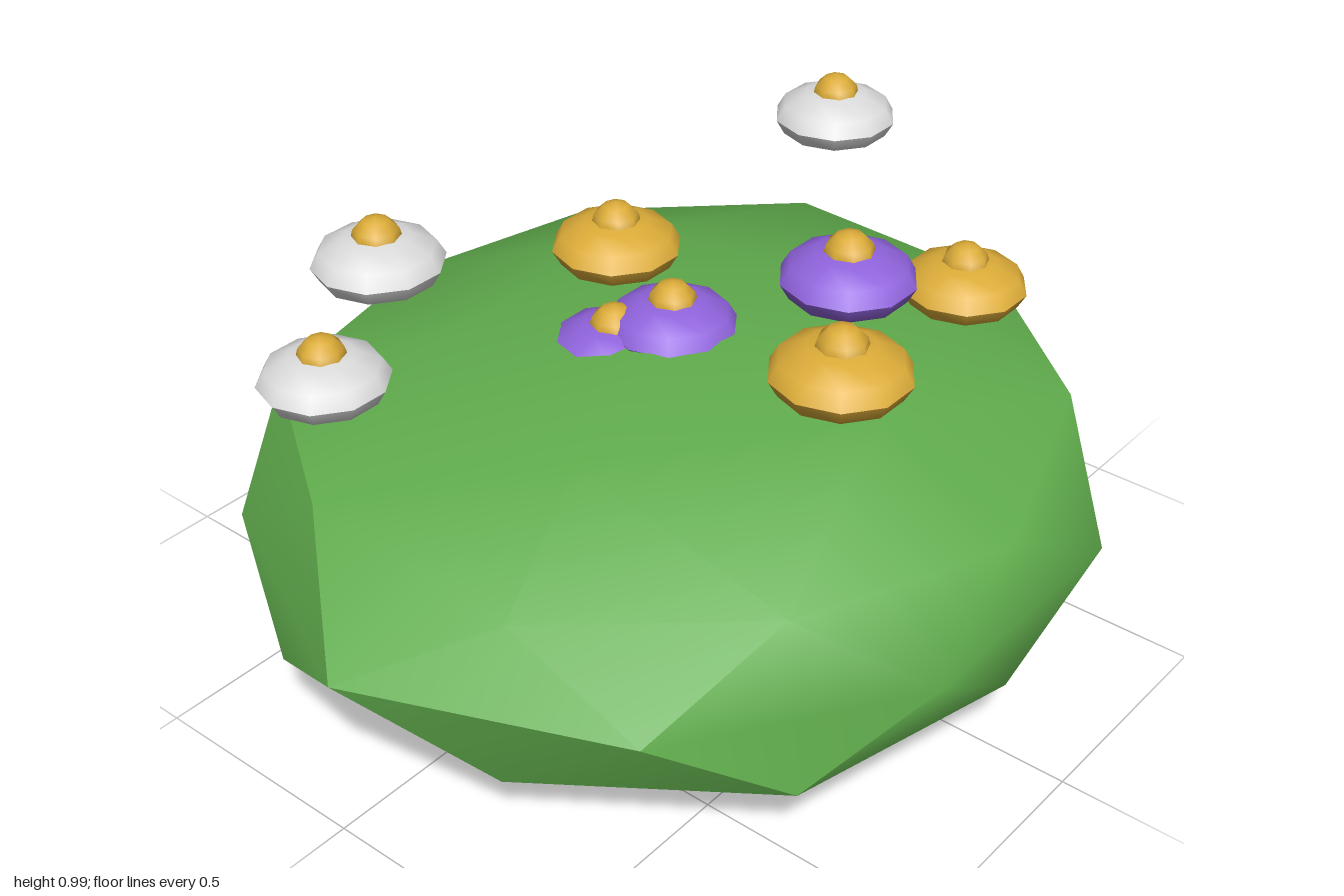
import * as THREE from 'three';

const material = (name, color) => {
  const m = new THREE.MeshStandardMaterial({ color });
  m.name = name;
  return m;
};

// Squashed, slightly uneven ball made of rows of points, with creases over 30 degrees
function rockGeometry() {
  const points = [], faces = [];
  const row = (lift, startDegrees, radii) => radii.map((r, i) => {
    const a = THREE.MathUtils.degToRad(startDegrees + i * 360 / radii.length);
    const flat = Math.sqrt(1 - lift * lift) * r;
    return points.push(new THREE.Vector3(Math.cos(a) * flat, 0.355 * (1 + lift * r), Math.sin(a) * flat)) - 1;
  });
  const [top] = row(1, 0, [0.94]);
  const cap = row(0.8507, 0, [1, 0.95, 0.9, 0.92, 0.95]);
  const midHigh = row(0.5257, 36, [0.97, 0.97, 0.91, 1, 0.97]);
  const high = row(0.4472, 0, [0.93, 0.93, 0.94, 0.95, 0.98]);
  const rim = row(0, 18, [0.92, 0.945, 1, 0.917, 0.895, 0.937, 1, 1, 0.89, 0.925]);
  const low = row(-0.4472, 36, [1.02, 1.03, 0.92, 1.05, 1]);
  const midLow = row(-0.5257, 0, [1, 1.03, 0.92, 0.93, 1]);
  const base = row(-0.8507, 36, [1.03, 0.98, 0.95, 1.02, 1]);
  const [bottom] = row(-1, 0, [1]);

  // Each large triangle becomes four
  const split = (a, b, c, ab, bc, ca) =>
    faces.push([a, ab, ca], [ab, b, bc], [ca, bc, c], [ab, bc, ca]);
  for (let i = 0; i < 5; i++) {
    const n = (i + 1) % 5, p = (i + 4) % 5;
    split(top, high[n], high[i], cap[n], midHigh[i], cap[i]);
    split(high[i], high[n], low[i], midHigh[i], rim[2 * i + 1], rim[2 * i]);
    split(high[i], low[i], low[p], rim[2 * i], midLow[i], rim[(2 * i + 9) % 10]);
    split(low[p], low[i], bottom, midLow[i], base[i], base[p]);
  }

  // Smooth each corner across the neighbouring faces that meet it gently
  const areaNormals = faces.map(([a, b, c]) => new THREE.Vector3().crossVectors(
    points[b].clone().sub(points[a]), points[c].clone().sub(points[a])));
  const limit = THREE.MathUtils.degToRad(30);
  const position = [], normal = [];
  faces.forEach((face, f) => face.forEach((v) => {
    const group = [f];
    for (const g of group) {
      faces.forEach((other, h) => {
        if (group.includes(h) || !other.includes(v)) return;
        const shared = other.filter((k) => faces[g].includes(k)).length;
        if (shared === 2 && areaNormals[g].angleTo(areaNormals[h]) < limit) group.push(h);
      });
    }
    const sum = new THREE.Vector3();
    group.forEach((g) => sum.add(areaNormals[g]));
    sum.normalize();
    position.push(...points[v].toArray());
    normal.push(...sum.toArray());
  }));
  const geometry = new THREE.BufferGeometry();
  geometry.setAttribute('position', new THREE.Float32BufferAttribute(position, 3));
  geometry.setAttribute('normal', new THREE.Float32BufferAttribute(normal, 3));
  return geometry;
}

// Half of a lens, from start to end angle in degrees, listed bottom to top
function shellGeometry(start, end) {
  const profile = [];
  for (let i = 0; i <= 3; i++) {
    const a = THREE.MathUtils.degToRad(start + (end - start) * i / 3);
    profile.push(new THREE.Vector2(Math.max(0, 0.138 * Math.cos(a)), 0.065 * Math.sin(a)));
  }
  return new THREE.LatheGeometry(profile, 10);
}

export function createModel() {
  const model = new THREE.Group();
  model.name = 'rockWithSaucers';
  const green = material('green', 0x61ad4d);
  const gold = material('gold', 0xdcac38);
  const purple = material('purple', 0x9063dc);
  const white = material('white', 0xdcdcdc);

  const add = (parent, name, geometry, mat) => {
    const mesh = new THREE.Mesh(geometry, mat);
    mesh.name = name;
    parent.add(mesh);
    return mesh;
  };
  add(model, 'rock', rockGeometry(), green);

  // Saucers hovering over the rock, some partly sunk in it
  const upper = shellGeometry(0, 90), lower = shellGeometry(-90, 0);
  const dome = new THREE.SphereGeometry(0.054, 8, 6);
  const saucers = [
    [white, -0.43, 0.847, 0.41],
    [white, -0.43, 0.65, 0.58],
    [white, -0.135, 0.84, -0.735],
    [gold, 0.35, 0.655, -0.55],
    [gold, 0.565, 0.885, 0.21],
    [gold, -0.195, 0.775, -0.045],
    [purple, 0.375, 0.89, -0.075],
    [purple, -0.005, 0.675, 0],
    [purple, -0.09, 0.625, 0.085],
  ];
  saucers.forEach(([mat, x, y, z], i) => {
    const saucer = new THREE.Group();
    saucer.name = `saucer${i + 1}`;
    saucer.position.set(x, y, z);
    add(saucer, 'upperHull', upper, mat);
    add(saucer, 'lowerHull', lower, mat);
    add(saucer, 'dome', dome, gold).position.y = 0.046;
    model.add(saucer);
  });
  return model;
}
